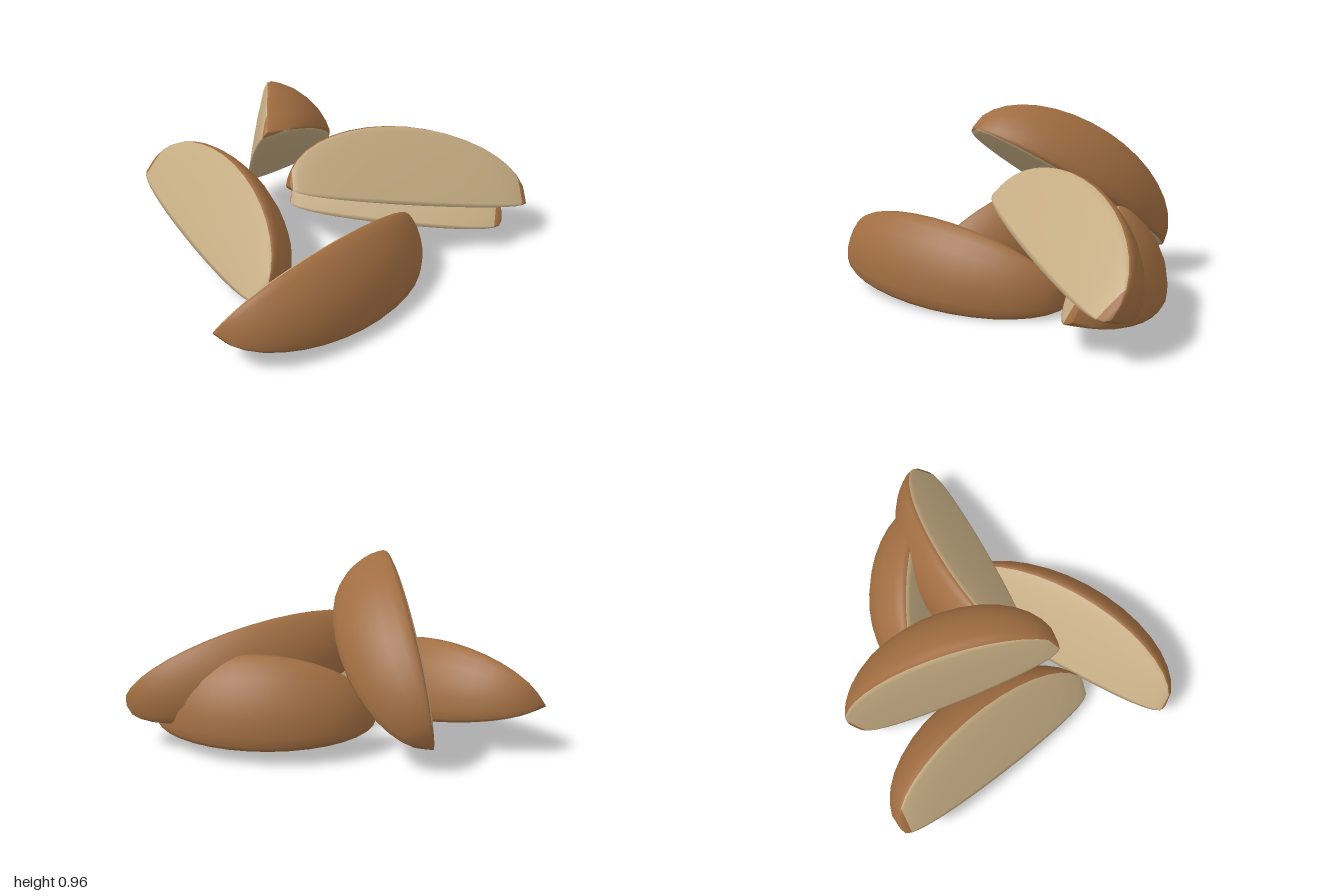
import * as THREE from 'three';

const skin = new THREE.MeshStandardMaterial({ color: 0xa06d41 });
skin.name = 'brownSkin';
const flesh = new THREE.MeshStandardMaterial({ color: 0xc4ab82 });
flesh.name = 'paleFlesh';

const RINGS = 18;

// Sector-shaped cross-section: [outward, sideways, isSkin], counterclockwise from the ridge
function wedgeSection(halfAngle) {
  const polar = (r, a, s) => [r * Math.cos(a * halfAngle), -r * Math.sin(a * halfAngle), s];
  const half = [
    polar(0.05, 1.3, false),
    polar(0.3, 1.08, false),
    polar(0.6, 1.04, false),
    polar(0.89, 1.0, false),
    polar(0.96, 0.96, false),
    polar(0.99, 0.87, true),
    polar(1.0, 0.68, true),
    polar(1.01, 0.35, true),
  ];
  const mirrored = half.map(([y, z, s]) => [y, -z, s]).reverse();
  return [[0, 0, false], ...half, [1.01, 0, true], ...mirrored];
}

// Wedge between two tips, with its skin side facing the out direction
function makeWedge(name, p0, p1, outDir, radius, angle = 30) {
  const start = new THREE.Vector3(...p0);
  const end = new THREE.Vector3(...p1);
  const axis = end.clone().sub(start);
  const halfLength = axis.length() / 2;
  axis.normalize();
  const out = new THREE.Vector3(...outDir);
  out.addScaledVector(axis, -out.dot(axis)).normalize();
  const side = axis.clone().cross(out);

  // Rings swell from blunt tips along a nearly straight ridge
  const section = wedgeSection(THREE.MathUtils.degToRad(angle));
  const n = section.length;
  const positions = [];
  for (let i = 0; i <= RINGS; i++) {
    const phi = (i / RINGS - 0.5) * Math.PI;
    const c = Math.max(0, Math.cos(phi));
    const r = i % RINGS === 0 ? 0 : radius * (0.08 + 0.92 * c);
    const ridge = 0.06 - 0.1 * Math.pow(c, 0.6);
    for (const [y, z] of section) {
      positions.push(halfLength * Math.sin(phi), ridge + r * y, r * z);
    }
  }

  // Cut faces are flesh; the outer arc and the very ends are skin
  const fleshFaces = [];
  const skinFaces = [];
  for (let i = 0; i < RINGS; i++) {
    for (let j = 0; j < n; j++) {
      const k = (j + 1) % n;
      const a = i * n + j, b = a + n, d = i * n + k, e = d + n;
      const isSkin = section[j][2] || section[k][2] || i < 1 || i >= RINGS - 2;
      (isSkin ? skinFaces : fleshFaces).push(a, d, b, b, d, e);
    }
  }

  const geometry = new THREE.BufferGeometry();
  geometry.setAttribute('position', new THREE.Float32BufferAttribute(positions, 3));
  geometry.setIndex([...fleshFaces, ...skinFaces]);
  geometry.addGroup(0, fleshFaces.length, 0);
  geometry.addGroup(fleshFaces.length, skinFaces.length, 1);
  geometry.applyMatrix4(new THREE.Matrix4().makeBasis(axis, out, side)
    .setPosition(start.add(end).multiplyScalar(0.5)));
  geometry.computeVertexNormals();

  const mesh = new THREE.Mesh(geometry, [flesh, skin]);
  mesh.name = name;
  return mesh;
}

export function createModel() {
  const group = new THREE.Group();
  group.name = 'potatoWedges';
  group.add(
    makeWedge('frontWedge', [-1.01, 0.145, 0.59], [0.37, 0.035, 0.25], [0.23, 0.38, 0.9], 0.48),
    makeWedge('upperLeftWedge', [-0.31, 0.48, 0.26], [0.975, 0.195, 0.7], [0.28, 0.28, -0.91], 0.465),
    makeWedge('lowerLeftWedge', [-0.01, 0.13, -0.2], [0.75, 0.125, 0.7], [0.67, 0.46, -0.57], 0.485, 33),
    makeWedge('leaningTopWedge', [-0.49, 0.8, 0.25], [0.05, 0.09, -0.68], [1.36, 1.08, 0.02], 0.475),
    makeWedge('backWedge', [-0.66, 0.045, 0.41], [-0.56, 0.24, -0.89], [0.91, 0.43, 0.06], 0.49),
  );
  return group;
}
